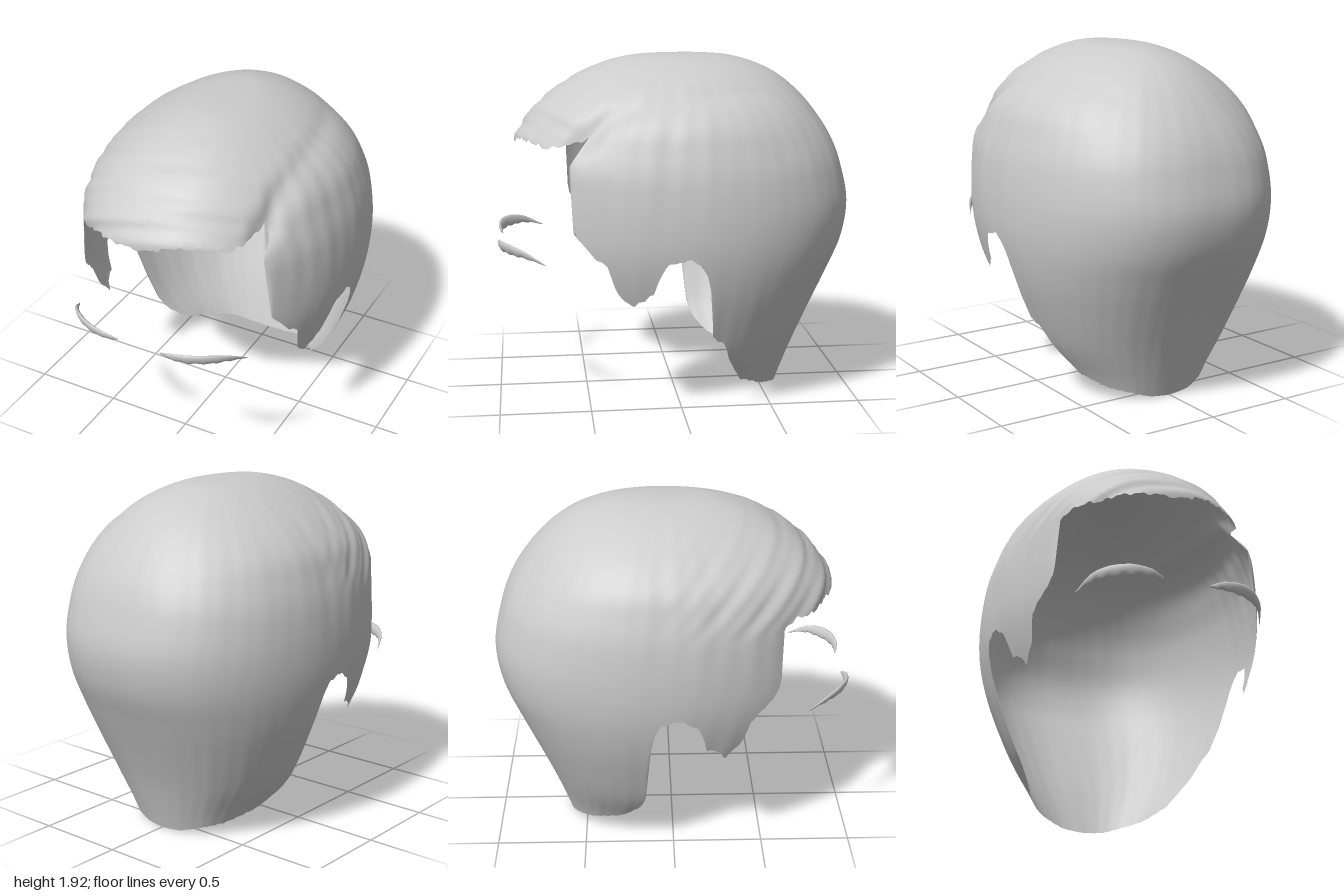
import * as THREE from 'three';
import { mergeVertices } from 'three/addons/utils/BufferGeometryUtils.js';

const material = new THREE.MeshStandardMaterial({ color: 0xcccccc, side: THREE.DoubleSide });
const { smoothstep, lerp, clamp, degToRad } = THREE.MathUtils;

// Horizontal sections from crown to nape: y, half width, front z, back z, centre z
const SECTIONS = [
  [1.92, 0, -0.05, -0.05, -0.05], [1.915, 0.1, 0.15, -0.23, -0.05], [1.9, 0.18, 0.27, -0.35, -0.06],
  [1.86, 0.29, 0.41, -0.48, -0.07], [1.8, 0.4, 0.54, -0.6, -0.08], [1.7, 0.54, 0.69, -0.72, -0.1],
  [1.58, 0.65, 0.81, -0.82, -0.1], [1.45, 0.705, 0.885, -0.9, -0.1], [1.3, 0.745, 0.88, -0.955, -0.1],
  [1.1, 0.765, 0.88, -0.995, -0.1], [0.9, 0.758, 0.87, -0.965, -0.1], [0.7, 0.715, 0.83, -0.88, -0.12],
  [0.5, 0.645, 0.7, -0.79, -0.13], [0.3, 0.555, 0.5, -0.705, -0.14], [0.12, 0.43, 0.3, -0.64, -0.2],
  [0, 0.36, 0.2, -0.6, -0.24],
];

// Hairline in degrees from the front and height: sideburn and ear, shared by both sides
const EAR = [
  [54, 0.9], [58, 0.85], [59.5, 0.71], [64, 0.62], [67, 0.66], [72, 0.7],
  [76, 0.84], [79, 0.88], [84, 0.905], [88, 0.88], [90.5, 0.8],
];
const NAPE = [[128, 0.07], [150, 0.04], [165, 0.01], [180, 0]];
const LEFT = [
  [49.5, 1.36], [50.2, 1.02], ...EAR,
  [91.3, 0.6], [92, 0.43], [98, 0.4], [101, 0.32], [105, 0.2], [108, 0.13], ...NAPE,
];
const RIGHT = [
  [46, 1.34], [46.6, 1.02], ...EAR, [91, 0.6], [91.7, 0.4], [92.5, 0.28], [95, 0.2], [103, 0.13], ...NAPE,
];
// Fringe hem, swept from the parting on the left over to the right temple
const FRINGE = [
  [-45, 1.36], [-40, 1.39], [-28, 1.39], [-21, 1.42], [0, 1.43], [12, 1.475], [25, 1.47], [35, 1.45], [44, 1.49], [48.8, 1.53],
];
const EDGE = [...RIGHT.map(([a, y]) => [-a, y]).reverse(), ...FRINGE, ...LEFT];

function edgeHeight(deg) {
  let i = 0;
  while (i < EDGE.length - 2 && EDGE[i + 1][0] < deg) i++;
  const [a0, y0] = EDGE[i], [a1, y1] = EDGE[i + 1];
  const y = lerp(y0, y1, clamp((deg - a0) / (a1 - a0), 0, 1));
  const ragged = Math.sin(deg * 0.9) * 0.006 + Math.sin(deg * 1.7 + 1) * 0.004;
  return Math.max(0, y + ragged * Math.min(1, y * 5));
}

// Smooth interpolation of one column of the section table
function sample(u, col) {
  const last = SECTIONS.length - 1;
  const i = Math.min(Math.floor(u), last - 1), t = u - i;
  const p = k => SECTIONS[clamp(k, 0, last)][col];
  const m0 = (p(i + 1) - p(i - 1)) / 2, m1 = (p(i + 2) - p(i)) / 2;
  const t2 = t * t, t3 = t2 * t;
  return (2 * t3 - 3 * t2 + 1) * p(i) + (t3 - 2 * t2 + t) * m0 + (3 * t2 - 2 * t3) * p(i + 1) + (t3 - t2) * m1;
}

function levelAt(y) {
  let lo = 0, hi = SECTIONS.length - 1;
  for (let k = 0; k < 24; k++) {
    const mid = (lo + hi) / 2;
    if (sample(mid, 0) > y) lo = mid; else hi = mid;
  }
  return hi;
}

// Point on the hair, with the parting groove and combed strands
function hairPoint(u, deg) {
  const zc = sample(u, 4);
  let y = sample(u, 0);

  // The left temple reaches forward under the end of the fringe
  const reach = Math.exp(-(((deg - 49) / 9) ** 2)) * (1 - smoothstep(y, 1.36, 1.47)) * smoothstep(y, 0.85, 1.05);
  const a = degToRad(deg - 5 * reach), s = Math.sin(a), c = Math.cos(a);

  // Squareness of the section: fuller at the temples and lower back, rounder at the crown
  const frontPower = s < 0
    ? lerp(0.84, 0.78, smoothstep(y, 1.15, 1.4))
    : lerp(0.8, 0.98, smoothstep(y, 1.3, 1.5)) - 0.08 * smoothstep(y, 1.6, 1.75);
  const backPower = lerp(s < 0 ? 0.79 : 0.83, 0.98, smoothstep(y, 1.3, 1.7));
  const x = sample(u, 1) * Math.sign(s) * Math.abs(s) ** (c < 0 ? backPower : frontPower);
  const z = zc + c * (c > 0 ? sample(u, 2) - zc : zc - sample(u, 3));

  const partX = 0.52 - 0.35 * Math.max(0, 0.1 - z) ** 2;
  const groove = Math.exp(-(((x - partX) / 0.05) ** 2)) * smoothstep(y, 1.38, 1.5) * smoothstep(z, -0.8, -0.1);
  const dent = groove * (0.028 + 0.034 * smoothstep(z, 0.25, 0.6));

  const fade = smoothstep(u, 1, 5);
  const swept = smoothstep(z, -0.2, 0.5) * smoothstep(y, 1.3, 1.45) * smoothstep(partX - x, 0, 0.15);
  const sweepLine = z + 0.3 * x - 0.9 * y + 0.25 * x * x;
  const sweepWave = Math.sin(26 * sweepLine + 3 * x) + 0.7 * Math.sin(51 * sweepLine - 4 * x);
  const fallWave = Math.sin(17 * a + 2 * y) + 0.6 * Math.sin(41 * a - 3 * y);
  const fallDepth = (0.0015 + 0.003 * smoothstep(z, -0.3, 0.1)) * (1 - swept) * Math.sin(2.2 * y + 1);
  const r = 1 - dent + fade * (0.006 * swept * sweepWave + fallDepth * fallWave);
  y -= dent * 0.2;
  return [x * r, y, zc + (z - zc) * r];
}

function hairGeometry() {
  const cols = 480, rows = 90, pos = [], index = [];
  for (let i = 0; i < cols; i++) {
    const deg = -180 + (360 * i) / cols;
    const end = levelAt(edgeHeight(deg));
    for (let j = 0; j <= rows; j++) {
      pos.push(...hairPoint(Math.min((j / rows) * (SECTIONS.length - 1), end), deg));
    }
  }
  for (let i = 0; i < cols; i++) {
    for (let j = 0; j < rows; j++) {
      const a = i * (rows + 1) + j, b = ((i + 1) % cols) * (rows + 1) + j;
      index.push(a, a + 1, b, b, a + 1, b + 1);
    }
  }
  return smoothGeometry(pos, index);
}

function smoothGeometry(pos, index) {
  let g = new THREE.BufferGeometry();
  g.setAttribute('position', new THREE.Float32BufferAttribute(pos, 3));
  g.setIndex(index);
  g = mergeVertices(g, 1e-5);
  g.computeVertexNormals();
  return g;
}

// Tapered eyebrow swept along the brow: x, y, z, half height
function eyebrowGeometry(side) {
  const path = [
    [0.13, 0.882, 0.968, 0.006], [0.2, 0.893, 0.98, 0.022], [0.3, 0.9, 0.965, 0.03],
    [0.4, 0.898, 0.91, 0.03], [0.47, 0.885, 0.84, 0.02], [0.525, 0.84, 0.735, 0.002],
  ];
  const spine = new THREE.CatmullRomCurve3(path.map(p => new THREE.Vector3(p[0], p[1], p[2])));
  const steps = 40, ring = 10, pos = [], index = [];
  for (let i = 0; i <= steps; i++) {
    const t = i / steps, f = t * (path.length - 1), k = Math.min(Math.floor(f), path.length - 2);
    const p = spine.getPoint(t), tan = spine.getTangent(t);
    const out = new THREE.Vector3(-tan.z, 0, tan.x).normalize();
    const h = lerp(path[k][3], path[k + 1][3], f - k);
    for (let j = 0; j < ring; j++) {
      const a = (j / ring) * Math.PI * 2;
      const tuft = Math.sin(a) < -0.5 ? 0.003 * Math.sin(i * 1.1) * Math.min(1, h * 50) : 0;
      const d = Math.cos(a) * h * 0.45 + Math.sin(a) * h * 0.25;
      pos.push(side * (p.x + out.x * d), p.y + Math.sin(a) * h + tuft, p.z + out.z * d);
    }
  }
  for (let i = 0; i < steps; i++) {
    for (let j = 0; j < ring; j++) {
      const a = i * ring + j, b = i * ring + ((j + 1) % ring), c = a + ring, d = b + ring;
      if (side > 0) index.push(a, c, b, b, c, d);
      else index.push(a, b, c, b, d, c);
    }
  }
  return smoothGeometry(pos, index);
}

export function createModel() {
  const model = new THREE.Group();
  model.name = 'hairAndEyebrows';
  const add = (name, geometry) => {
    const mesh = new THREE.Mesh(geometry, material);
    mesh.name = name;
    model.add(mesh);
  };
  add('hair', hairGeometry());
  add('leftEyebrow', eyebrowGeometry(1));
  add('rightEyebrow', eyebrowGeometry(-1));
  return model;
}
